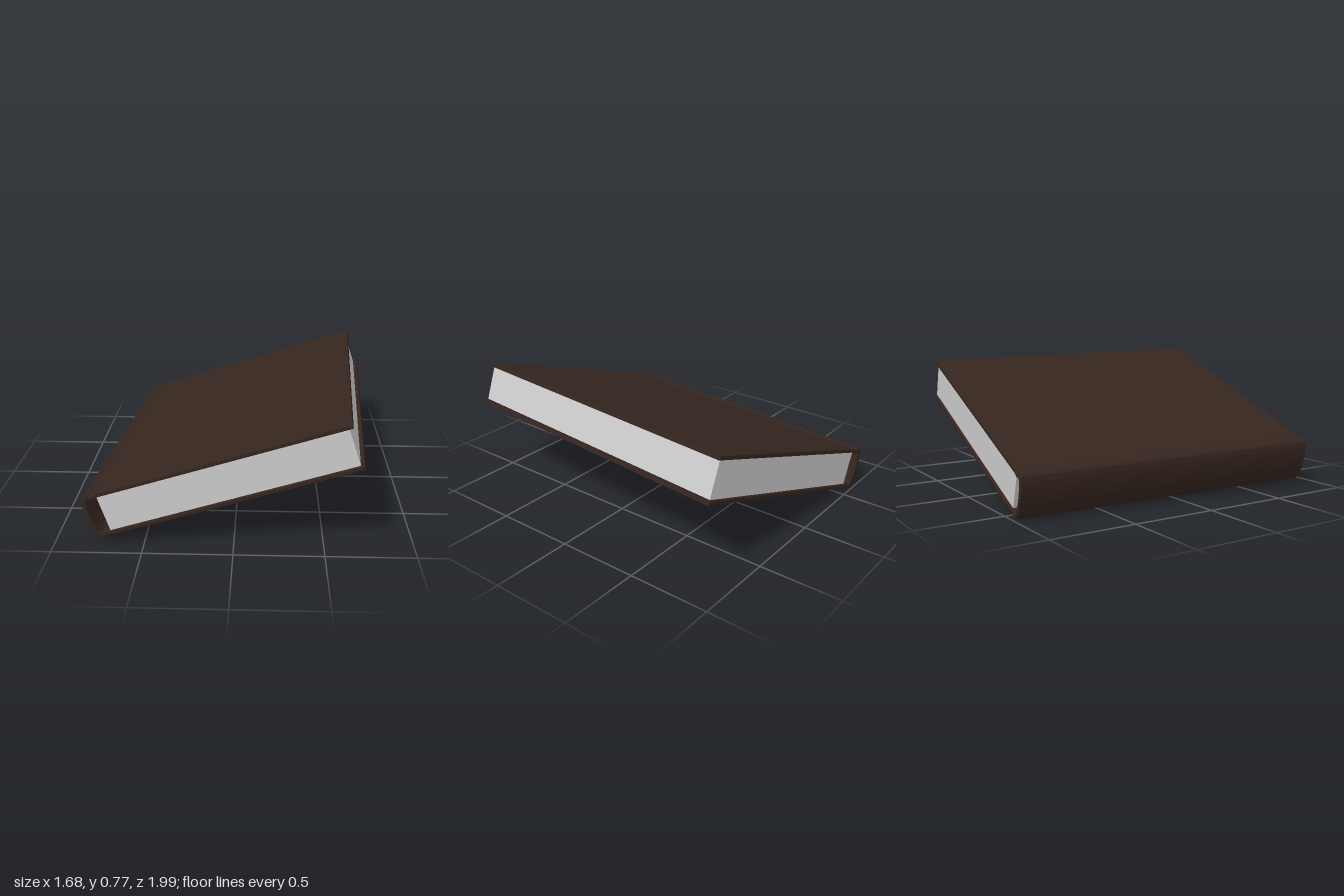
import * as THREE from 'three';

const LENGTH = 1.886;
const MID = 0.393; // middle height of the cross-section

const v2 = (u, h) => new THREE.Vector2(u, MID + h);

// Mirrors an upper half-outline about the middle of the book
const mirrored = (half) => [
  ...half.map(([u, h]) => v2(u, h)),
  ...half.slice().reverse().map(([u, h]) => v2(u, -h)),
];

// Wrap-around cover: boards, hinge grooves and rounded spine as one strip
function coverShape() {
  const outer = mirrored([
    [0.828, 0.133], [-0.615, 0.133], [-0.635, 0.126], [-0.658, 0.125],
    [-0.672, 0.136], [-0.688, 0.138], [-0.704, 0.127], [-0.718, 0.098],
    [-0.726, 0.06], [-0.73, 0.02],
  ]);
  const inner = mirrored([
    [0.828, 0.107], [-0.62, 0.107], [-0.66, 0.1], [-0.682, 0.11],
    [-0.694, 0.088], [-0.701, 0.055], [-0.705, 0.02],
  ]);
  return new THREE.Shape([...outer, ...inner.reverse()]);
}

export function createModel() {
  const model = new THREE.Group();
  model.name = 'book';
  const body = new THREE.Group();
  body.name = 'tiltedBook';
  model.add(body);

  // Cover with a tiny chamfer at its edges
  const bevel = 0.004;
  const coverGeometry = new THREE.ExtrudeGeometry(coverShape(), {
    depth: LENGTH - 2 * bevel,
    bevelEnabled: true,
    bevelThickness: bevel,
    bevelSize: bevel,
    bevelOffset: -bevel,
    bevelSegments: 1,
  });
  coverGeometry.translate(0, 0, -LENGTH / 2 + bevel);
  const cover = new THREE.Mesh(
    coverGeometry,
    new THREE.MeshStandardMaterial({ color: 0x35251f }),
  );
  cover.name = 'cover';
  body.add(cover);

  // Page block, set slightly inside the boards
  const pages = new THREE.Mesh(
    new THREE.BoxGeometry(1.434, 0.216, LENGTH - 0.028),
    new THREE.MeshStandardMaterial({ color: 0xcccccc }),
  );
  pages.name = 'pages';
  pages.position.set(0.089, MID, 0);
  body.add(pages);

  // Tilt: width axis rises to the left, length axis is turned slightly
  const along = new THREE.Vector3(-0.077, 0.0133, 0.997).normalize();
  const across = new THREE.Vector3(0.9435, 0.3235, 0.0685).normalize();
  const up = along.clone().cross(across).normalize();
  across.crossVectors(up, along);
  body.quaternion.setFromRotationMatrix(new THREE.Matrix4().makeBasis(across, up, along));

  // Centre on the ground
  body.updateMatrixWorld(true);
  const box = new THREE.Box3().setFromObject(body, true);
  const centre = box.getCenter(new THREE.Vector3());
  body.position.set(-centre.x, -box.min.y, -centre.z);
  return model;
}
